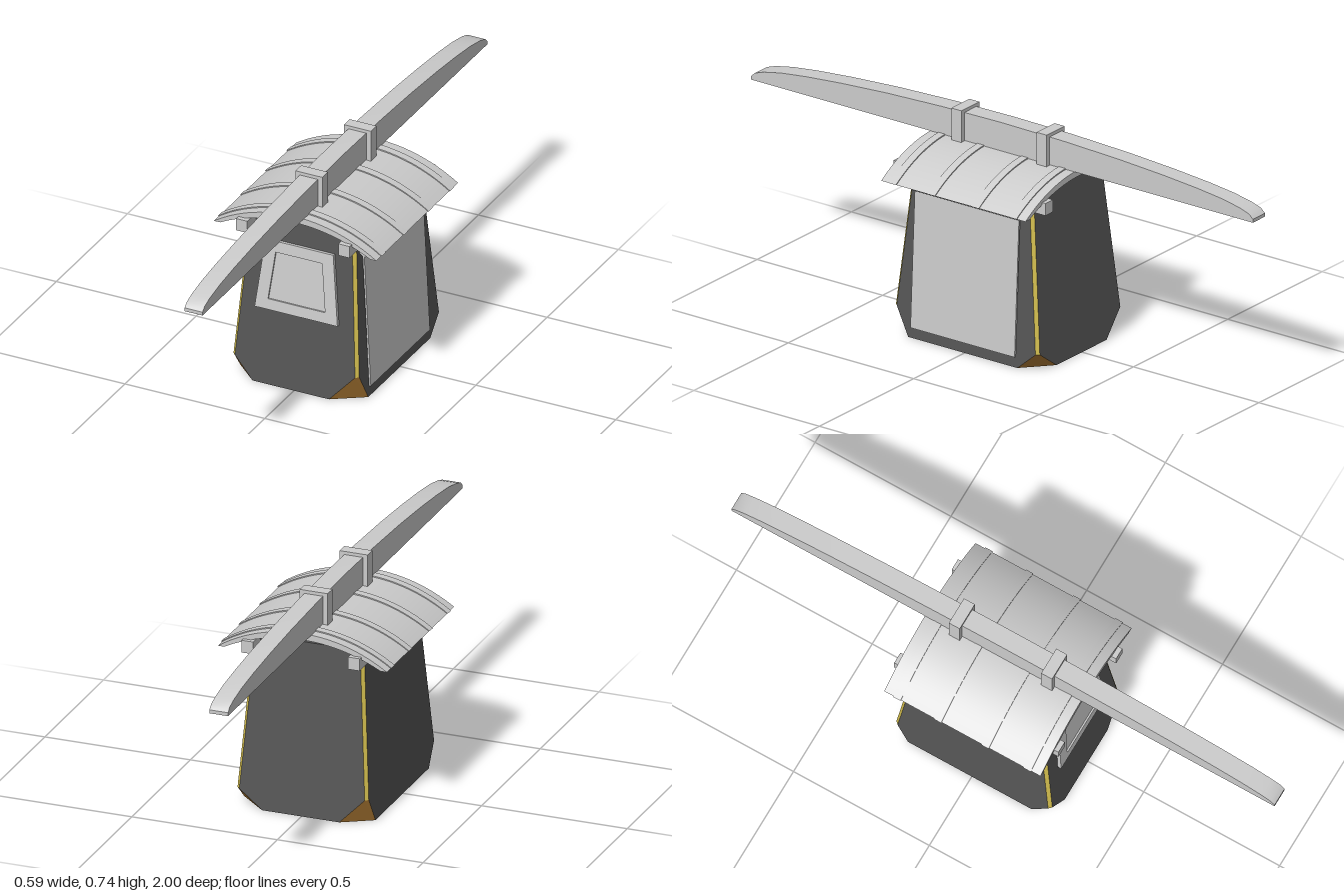
import * as THREE from 'three';
import { toCreasedNormals } from 'three/addons/utils/BufferGeometryUtils.js';

const grey = new THREE.MeshStandardMaterial({ color: 0xcccccc });
const dark = new THREE.MeshStandardMaterial({ color: 0x555555 });
const yellow = new THREE.MeshStandardMaterial({ color: 0xd8c250 });
const brown = new THREE.MeshStandardMaterial({ color: 0xb07c35 });

// Cabin size: half widths at the floor and at the top
const H = 0.58, X0 = 0.23, X1 = 0.189, Z0 = 0.295, Z1 = 0.238, STRIP = 0.01;
const halfX = (y) => X0 + (X1 - X0) * y / H;
const halfZ = (y) => Z0 + (Z1 - Z0) * y / H;

export function createModel() {
  const group = new THREE.Group();

  const add = (name, geometry, material = grey, x = 0, y = 0, z = 0) => {
    const mesh = new THREE.Mesh(geometry, material);
    mesh.name = name;
    mesh.position.set(x, y, z);
    group.add(mesh);
    return mesh;
  };

  // Flat-faced geometry from convex polygons, each turned away from the cabin centre
  const facets = (polygons) => {
    const centre = new THREE.Vector3(0, H / 2, 0);
    const points = [];
    for (const p of polygons) {
      for (let i = 1; i < p.length - 1; i++) {
        const t = [p[0], p[i], p[i + 1]];
        const n = t[1].clone().sub(t[0]).cross(t[2].clone().sub(t[0]));
        if (n.dot(t[0].clone().sub(centre)) < 0) t.reverse();
        points.push(...t);
      }
    }
    const g = new THREE.BufferGeometry().setFromPoints(points);
    g.computeVertexNormals();
    return g;
  };

  // Cabin corners in ring order: sign x, sign z, floor cut x, floor cut z, cut height
  const V = (x, y, z) => new THREE.Vector3(x, y, z);
  const corners = [
    [1, 1, 0.125, 0.225, 0.095],
    [-1, 1, 0.148, 0.22, 0.073],
    [-1, -1, 0.13, 0.235, 0.085],
    [1, -1, 0.135, 0.21, 0.06],
  ].map(([sx, sz, cx, cz, h]) => {
    const onSide = (y) => V(sx * halfX(y), y, sz * (halfZ(y) - STRIP));
    const onEnd = (y) => V(sx * (halfX(y) - STRIP), y, sz * halfZ(y));
    return {
      side: [V(sx * X0, 0, sz * cz), onSide(h), onSide(H)],
      end: [V(sx * cx, 0, sz * Z0), onEnd(h), onEnd(H)],
    };
  });

  // Walls, floor and top of the cabin
  const walls = [], floor = [], top = [];
  corners.forEach((c, i) => {
    const next = corners[(i + 1) % 4];
    const key = i % 2 === 0 ? 'end' : 'side';
    const other = i % 2 === 0 ? 'side' : 'end';
    walls.push([...c[key], ...[...next[key]].reverse()]);
    floor.push(c[other][0], c[key][0]);
    top.push(c[other][2], c[key][2]);
  });
  add('cabin', facets([...walls, floor, top]), dark);
  add('edgeStrips', facets(corners.map(({ side: s, end: e }) => [s[1], s[2], e[2], e[1]])), yellow);
  add('cornerPlates', facets(corners.map(({ side: s, end: e }) => [s[0], s[1], e[1], e[0]])), brown);

  // Front window: sloping frame with a slightly sunken panel
  const trapezoid = (xTop, yTop, xBottom, yBottom) => [
    new THREE.Vector2(-xBottom, yBottom), new THREE.Vector2(xBottom, yBottom),
    new THREE.Vector2(xTop, yTop), new THREE.Vector2(-xTop, yTop),
  ];
  const inner = trapezoid(0.083, 0.468, 0.102, 0.301);
  const frame = new THREE.Shape(trapezoid(0.121, 0.506, 0.148, 0.264));
  frame.holes.push(new THREE.Path(inner));
  const slope = Math.atan((Z0 - Z1) / H);
  for (const [name, shape, depth] of [['windowFrame', frame, 0.012], ['windowPanel', new THREE.Shape(inner), 0.006]]) {
    const g = new THREE.ExtrudeGeometry(shape, { depth, bevelEnabled: false });
    add(name, g, grey, 0, 0, Z0).rotation.x = -slope;
  }

  // Blind on the left side, hanging from its roll
  add('blind', new THREE.BoxGeometry(0.006, 0.47, 0.415), grey, 0.2185, 0.27, 0.006).rotation.z = 0.05;
  add('blindRoll', new THREE.CylinderGeometry(0.022, 0.022, 0.42, 24).rotateX(Math.PI / 2), grey, 0.211, 0.524, 0.006);

  // Beams carrying the roof
  for (const s of [1, -1]) {
    add('roofBeam', new THREE.BoxGeometry(0.04, 0.042, 0.605), grey, s * 0.183, 0.559, 0.001);
  }

  // Arched roof and its raised ribs, from two arcs given by crown height and half span
  const archGeometry = (topOut, spanOut, topIn, spanIn, base, depth) => {
    const arc = (crown, span) => {
      const sag = crown - base, r = (span * span + sag * sag) / (2 * sag), a = Math.asin(span / r);
      return Array.from({ length: 33 }, (_, i) => {
        const t = a * (i / 16 - 1);
        return new THREE.Vector2(r * Math.sin(t), crown - r + r * Math.cos(t));
      });
    };
    const shape = new THREE.Shape([...arc(topOut, spanOut), ...arc(topIn, spanIn).reverse()]);
    const g = new THREE.ExtrudeGeometry(shape, { depth, bevelEnabled: false });
    return toCreasedNormals(g.translate(0, 0, -depth / 2), 0.5);
  };
  add('roof', archGeometry(0.63, 0.29, 0.608, 0.268, 0.542, 0.575));
  for (const z of [-0.24, -0.09, 0.085, 0.24]) {
    add('roofRib', archGeometry(0.634, 0.293, 0.62, 0.28, 0.543, 0.027), grey, 0, 0, z);
  }

  // Carrying pole: flat underneath, bowed on top, blunt at both ends
  const half = [[1, 0.63], [1, 0.642], [0.985, 0.656], [0.95, 0.668], [0.88, 0.682], [0.78, 0.694],
    [0.64, 0.706], [0.46, 0.717], [0.24, 0.725]];
  const profile = [...half, [0, 0.728], ...half.map(([z, y]) => [-z, y]).reverse()];
  const pole = new THREE.ExtrudeGeometry(
    new THREE.Shape(profile.map(([z, y]) => new THREE.Vector2(z, y))), { depth: 0.064, bevelEnabled: false });
  pole.translate(0, 0, -0.032).rotateY(-Math.PI / 2);
  add('carryingPole', toCreasedNormals(pole, 0.5));

  // Brackets holding the pole on the roof
  for (const z of [0.17, -0.17]) {
    add('poleBracket', new THREE.BoxGeometry(0.096, 0.117, 0.04), grey, 0, 0.6785, z);
  }

  return group;
}
